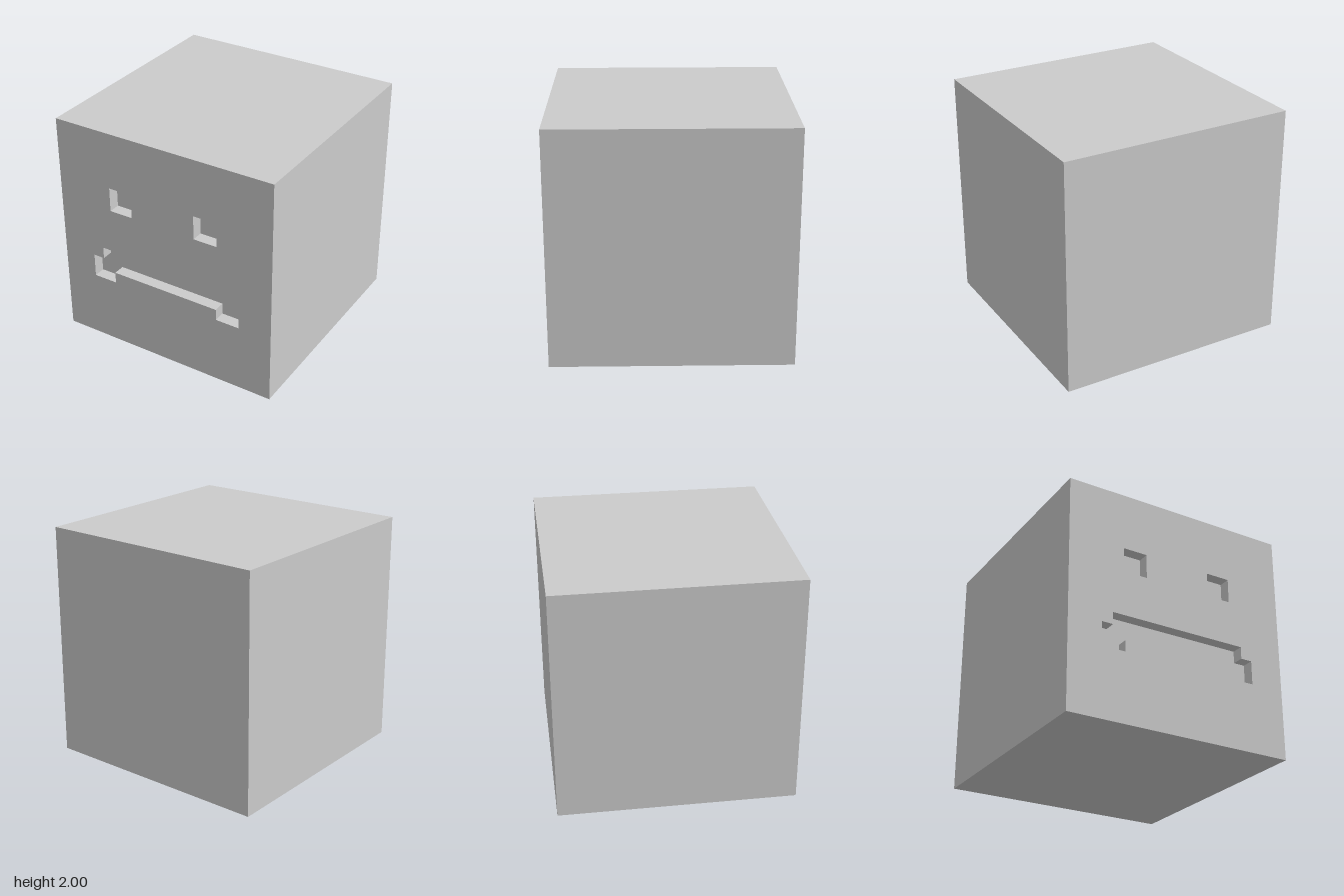
import * as THREE from 'three';

const HALF = 1;      // half the cube's side
const DEPTH = 0.1;   // how far the face features are sunk in
const material = new THREE.MeshStandardMaterial({ color: 0xcccccc, flatShading: true });

const toPoints = (pairs) => pairs.map(([x, y]) => new THREE.Vector2(x, y));

// Counter-clockwise outline of a square eye
function eyeOutline(side) {
  const cx = 0.4 * side, cy = 1.4, h = 0.105;
  return toPoints([[cx - h, cy - h], [cx + h, cy - h], [cx + h, cy + h], [cx - h, cy + h]]);
}

// Counter-clockwise outline of the down-turned mouth, its right half mirrored
function mouthOutline() {
  const half = [[0.495, 0.695], [0.495, 0.597], [0.705, 0.597], [0.705, 0.803], [0.606, 0.803], [0.606, 0.907]];
  const mirrored = half.map(([x, y]) => [-x, y]).reverse();
  return toPoints([...half, ...mirrored]);
}

// Inward-facing walls around an outline, plus the floor of the pocket
function makeRecess(name, outline) {
  const group = new THREE.Group();
  group.name = name;
  const front = HALF, back = HALF - DEPTH, positions = [];
  outline.forEach((a, i) => {
    const b = outline[(i + 1) % outline.length];
    positions.push(a.x, a.y, front, b.x, b.y, front, b.x, b.y, back);
    positions.push(a.x, a.y, front, b.x, b.y, back, a.x, a.y, back);
  });
  const wallGeometry = new THREE.BufferGeometry();
  wallGeometry.setAttribute('position', new THREE.Float32BufferAttribute(positions, 3));
  wallGeometry.computeVertexNormals();
  const walls = new THREE.Mesh(wallGeometry, material);
  walls.name = name + 'Walls';

  const floor = new THREE.Mesh(new THREE.ShapeGeometry(new THREE.Shape(outline)), material);
  floor.name = name + 'Floor';
  floor.position.z = back;
  group.add(walls, floor);
  return group;
}

export function createModel() {
  const model = new THREE.Group();
  model.name = 'faceCube';

  // Cube with its front side left open
  const box = new THREE.BoxGeometry(2 * HALF, 2 * HALF, 2 * HALF);
  const frontGroup = box.groups[4];
  box.setIndex([...box.index.array].filter(
    (_, i) => i < frontGroup.start || i >= frontGroup.start + frontGroup.count));
  box.clearGroups();
  const body = new THREE.Mesh(box, material);
  body.name = 'body';
  body.position.y = HALF;
  model.add(body);

  // Front side with openings for the eyes and mouth
  const recesses = { leftEye: eyeOutline(1), rightEye: eyeOutline(-1), mouth: mouthOutline() };
  const face = new THREE.Shape(toPoints([[-HALF, 0], [HALF, 0], [HALF, 2 * HALF], [-HALF, 2 * HALF]]));
  for (const [name, outline] of Object.entries(recesses)) {
    face.holes.push(new THREE.Path(outline));
    model.add(makeRecess(name, outline));
  }
  const frontFace = new THREE.Mesh(new THREE.ShapeGeometry(face), material);
  frontFace.name = 'frontFace';
  frontFace.position.z = HALF;
  model.add(frontFace);

  return model;
}
